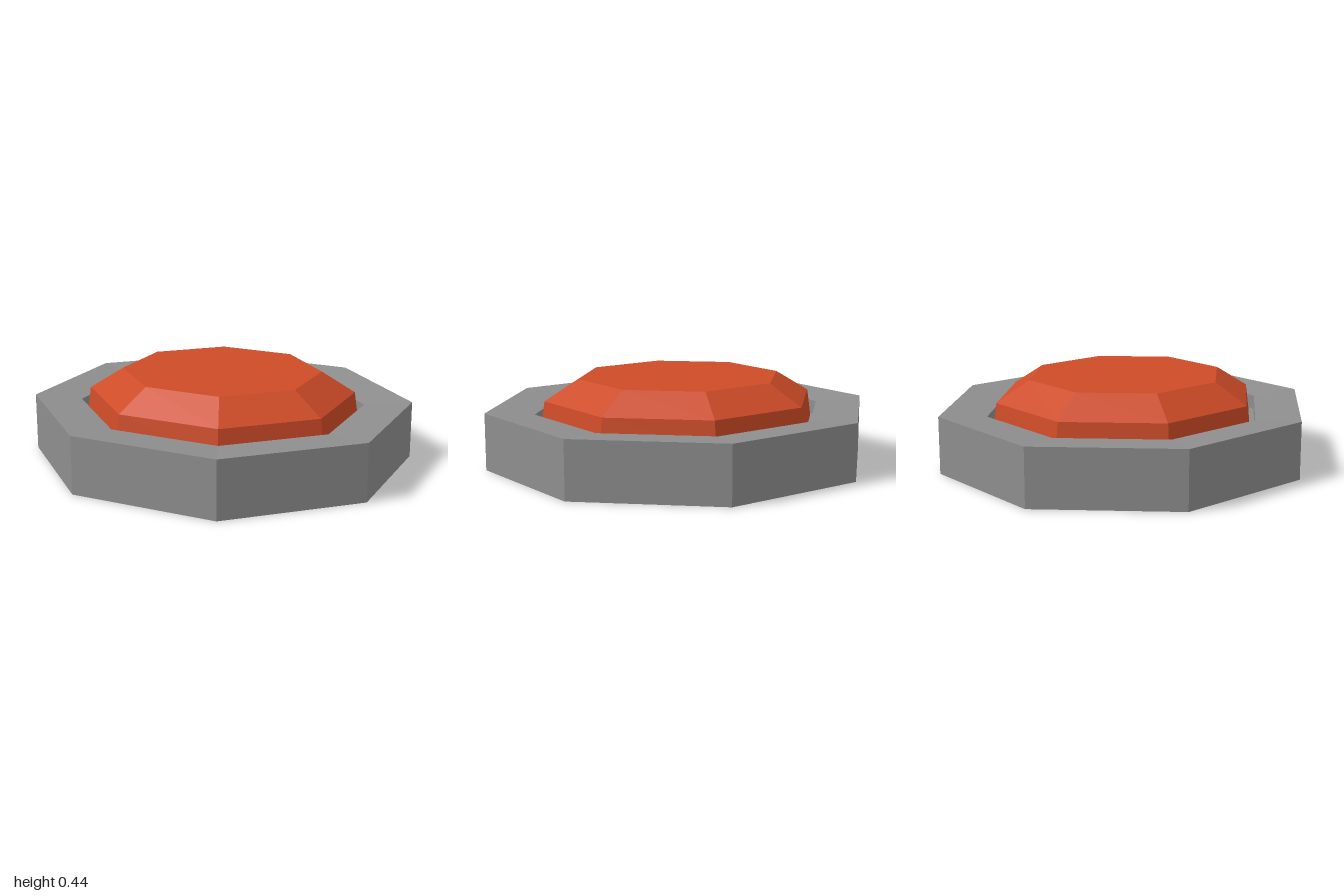
import * as THREE from 'three';

// Eight-sided faceted solid turned from a [radius, height] profile, slightly narrower in x
function octagon(name, profile, color) {
  const points = profile.map(([r, y]) => new THREE.Vector2(r, y));
  const geometry = new THREE.LatheGeometry(points, 8).toNonIndexed();
  geometry.scale(0.95, 1, 1);
  geometry.computeVertexNormals();
  const mesh = new THREE.Mesh(geometry, new THREE.MeshStandardMaterial({ color, flatShading: true }));
  mesh.name = name;
  return mesh;
}

export function createModel() {
  const model = new THREE.Group();
  model.name = 'pushButton';

  // Housing whose top dips slightly inward to a shallow recess
  model.add(octagon('housing', [[0, 0], [1, 0], [1, 0.29], [0.75, 0.272], [0.75, 0.2], [0, 0.2]], 0x8e8e8e));

  // Tapered, bevelled cap seated in the recess
  model.add(octagon('buttonCap', [[0.72, 0.2], [0.7, 0.337], [0.525, 0.443], [0, 0.443]], 0xcd4b27));

  return model;
}
